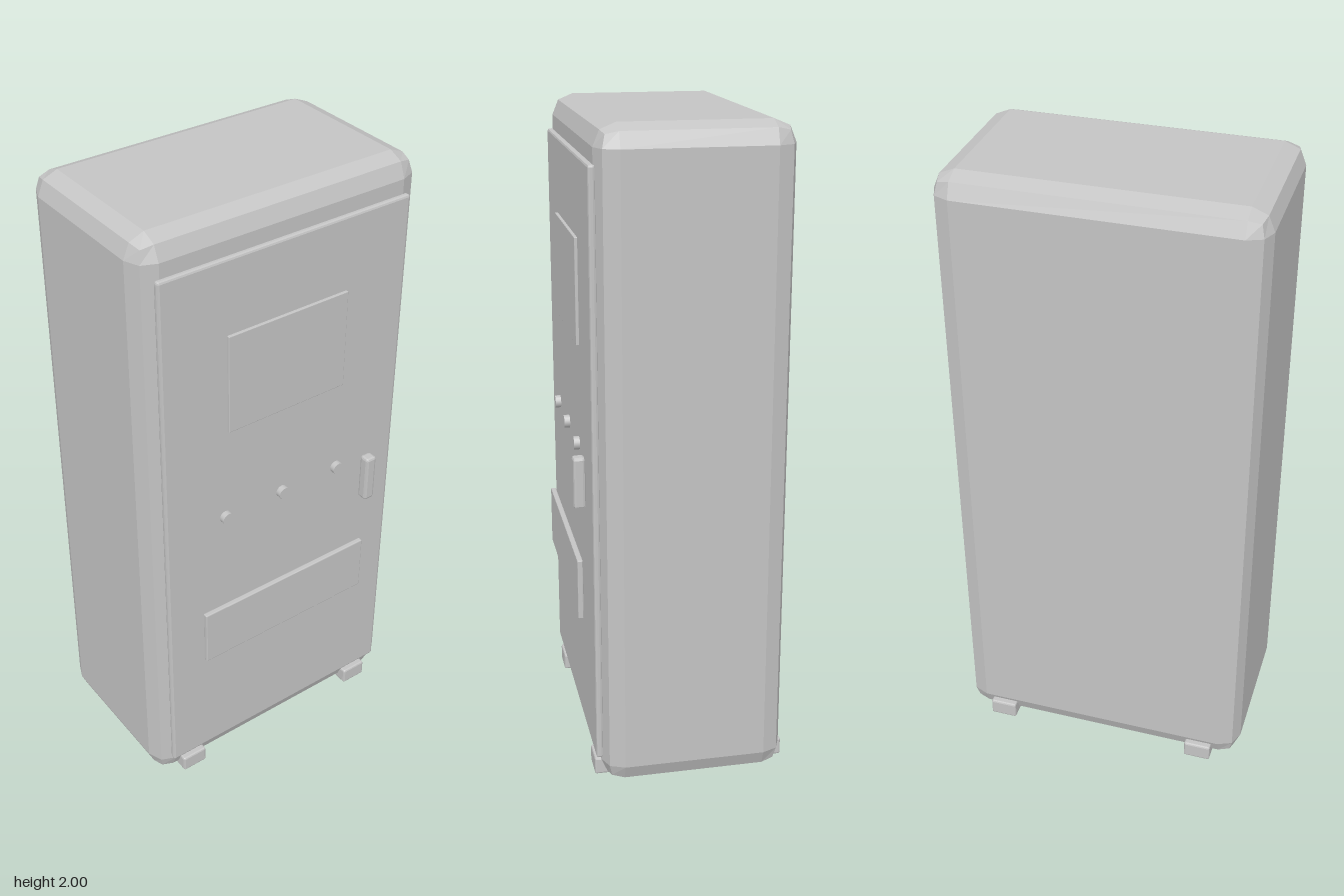
import * as THREE from 'three';
import { RoundedBoxGeometry } from 'three/addons/geometries/RoundedBoxGeometry.js';

const grey = new THREE.MeshStandardMaterial({ color: 0xc4c4c4 });
grey.name = 'painted grey metal';

// Box between two corners, its edges rounded with two flat facets
function bevelBox(name, [x0, y0, z0], [x1, y1, z1], radius) {
  let geometry = new RoundedBoxGeometry(x1 - x0, y1 - y0, z1 - z0, 1, radius);
  if (geometry.index) geometry = geometry.toNonIndexed();
  geometry.computeVertexNormals();
  const mesh = new THREE.Mesh(geometry, grey);
  mesh.name = name;
  mesh.position.set((x0 + x1) / 2, (y0 + y1) / 2, (z0 + z1) / 2);
  return mesh;
}

export function createModel() {
  const cabinet = new THREE.Group();
  cabinet.name = 'cabinet';

  // Main housing
  cabinet.add(bevelBox('housing', [-0.475, 0.003, -0.305], [0.475, 2, 0.26], 0.065));

  // Door and the plates mounted on it
  cabinet.add(bevelBox('door', [-0.427, 0.08, 0.255], [0.425, 1.89, 0.276], 0.007));
  cabinet.add(bevelBox('displayPanel', [-0.21, 1.335, 0.274], [0.207, 1.655, 0.285], 0.002));
  cabinet.add(bevelBox('lowerPanel', [-0.312, 0.5, 0.291], [0.308, 0.693, 0.308], 0.003));
  cabinet.add(bevelBox('handle', [0.297, 0.87, 0.282], [0.335, 1.03, 0.318], 0.008));

  // Row of three knobs
  for (const x of [-0.22, -0.011, 0.198]) {
    const knob = new THREE.Mesh(new THREE.CylinderGeometry(0.02, 0.02, 0.018, 16), grey);
    knob.name = 'knob';
    knob.rotation.x = Math.PI / 2;
    knob.position.set(x, 1.031, 0.289);
    cabinet.add(knob);
  }

  // Four feet, mirrored left and right
  for (const side of [-1, 1]) {
    const x = side * 0.344;
    for (const [name, z] of [['frontFoot', 0.232], ['backFoot', -0.277]]) {
      cabinet.add(bevelBox(name, [x - 0.044, 0, z - 0.044], [x + 0.044, 0.056, z + 0.044], 0.006));
    }
  }

  return cabinet;
}
